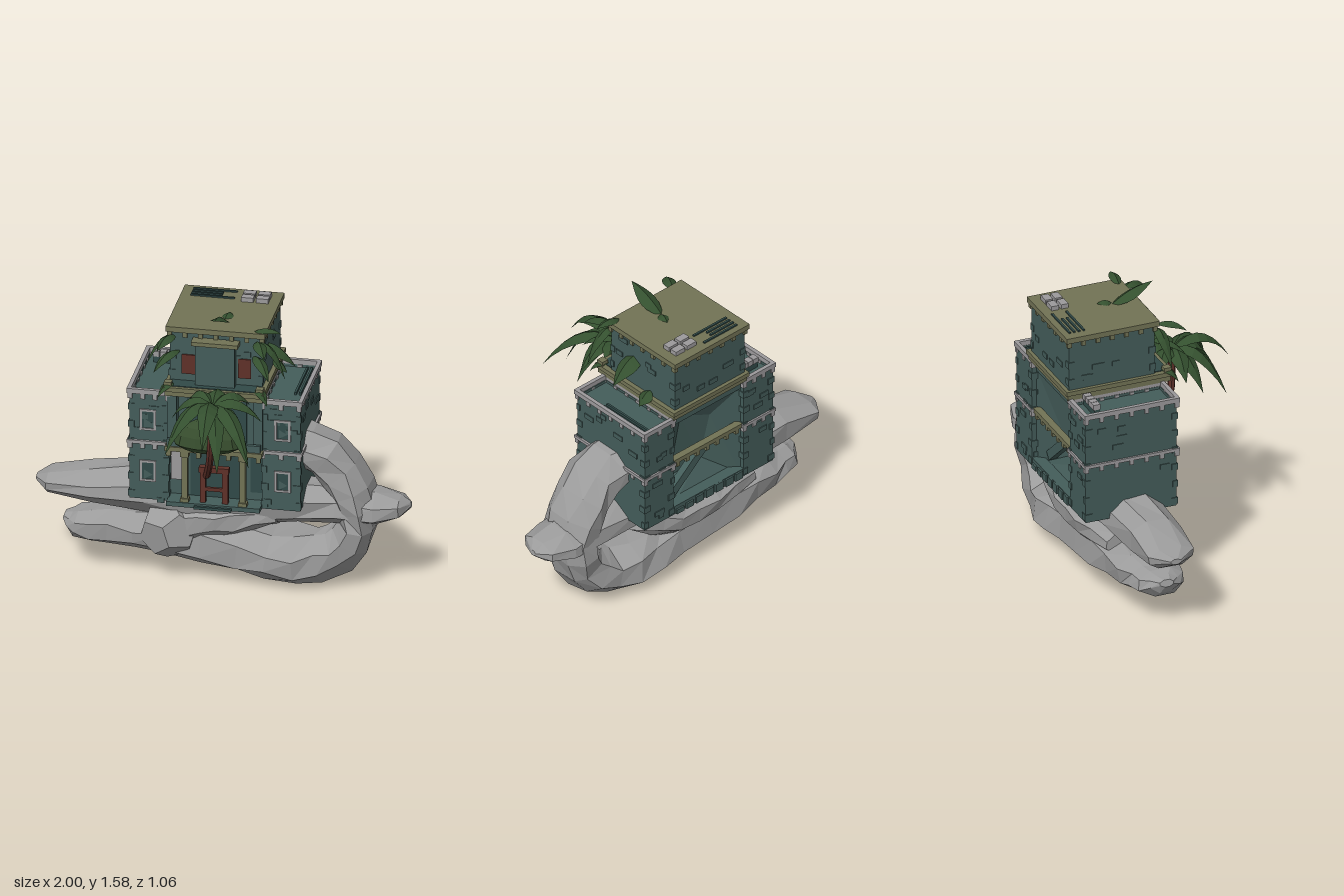
import * as THREE from 'three';

const mat = (name, color, side = THREE.FrontSide) => {
  const m = new THREE.MeshStandardMaterial({ color, side });
  m.name = name;
  return m;
};

export function createModel() {
  const root = new THREE.Group();
  root.name = 'overgrownHouse';
  const teal = mat('teal plaster', 0x445d5a), dark = mat('dark teal', 0x314a48);
  const cave = mat('teal cave', 0x415956, THREE.DoubleSide);
  const olive = mat('olive stone', 0x727355), trim = mat('grey trim', 0x9c9a9c);
  const rock = mat('grey root', 0x9b9b9b), wood = mat('red brown wood', 0x5f3129);
  const leaf = mat('palm green', 0x34502f, THREE.DoubleSide), bushGreen = mat('moss green', 0x384f2f);

  let seed = 7;
  const rnd = () => (seed = (seed * 16807) % 2147483647) / 2147483647;
  const add = (name, geo, m, parent = root) => {
    const mesh = new THREE.Mesh(geo, m);
    mesh.name = name;
    parent.add(mesh);
    return mesh;
  };
  const group = (name) => {
    const g = new THREE.Group();
    g.name = name;
    root.add(g);
    return g;
  };
  const box = (name, m, x0, x1, y0, y1, z0, z1, parent = root) => {
    const mesh = add(name, new THREE.BoxGeometry(x1 - x0, y1 - y0, z1 - z0), m, parent);
    mesh.position.set((x0 + x1) / 2, (y0 + y1) / 2, (z0 + z1) / 2);
    return mesh;
  };
  const facet = (g) => {
    const f = g.index ? g.toNonIndexed() : g;
    f.computeVertexNormals();
    return f;
  };
  const v = (p) => new THREE.Vector3(...p);

  // Rectangular rim made of four bars
  const rim = (name, m, x0, x1, y0, y1, z0, z1, t, parent) => {
    box(name, m, x0, x1, y0, y1, z1 - t, z1, parent);
    box(name, m, x0, x1, y0, y1, z0, z0 + t, parent);
    box(name, m, x0, x0 + t, y0, y1, z0 + t, z1 - t, parent);
    box(name, m, x1 - t, x1, y0, y1, z0 + t, z1 - t, parent);
  };
  // Little brackets hanging under a cornice, around walls
  const dentils = (m, x0, x1, z0, z1, y, parent) => {
    const w = 0.012, h = 0.03;
    const nx = Math.max(2, Math.round((x1 - x0) / 0.08)), nz = Math.round((z1 - z0) / 0.08);
    for (let i = 0; i <= nx; i++) for (const z of [z0, z1]) {
      const x = x0 + (x1 - x0) * i / nx;
      box('bracket', m, x - w, x + w, y - h, y, z - w, z + w, parent);
    }
    for (let i = 1; i < nz; i++) for (const x of [x0, x1]) {
      const z = z0 + (z1 - z0) * i / nz;
      box('bracket', m, x - w, x + w, y - h, y, z - w, z + w, parent);
    }
  };
  // Scattered raised bricks on the four walls, and larger blocks on the corners
  const bricks = (x0, x1, y0, y1, z0, z1, n, parent) => {
    const d = 0.005;
    for (let i = 0; i < n; i++) {
      const y = y0 + rnd() * (y1 - y0), x = x0 + 0.03 + rnd() * (x1 - x0 - 0.06);
      const z = z0 + 0.04 + rnd() * (z1 - z0 - 0.08), w = 0.015 + rnd() * 0.02;
      const zw = i % 2 ? z0 : z1, xw = i % 2 ? x0 : x1;
      box('brick', teal, x - w, x + w, y - 0.014, y + 0.014, zw - d, zw + d, parent);
      box('brick', teal, xw - d, xw + d, y - 0.014, y + 0.014, z - w, z + w, parent);
    }
    for (const x of [x0, x1]) for (const z of [z0, z1]) for (let y = y0 + 0.03; y < y1; y += 0.1) {
      const w = 0.02 + rnd() * 0.02;
      box('cornerBlock', teal, Math.max(x - w, x0 - d), Math.min(x + w, x1 + d), y - 0.018, y + 0.018,
        Math.max(z - w, z0 - d), Math.min(z + w, z1 + d), parent);
    }
  };

  // Wings with two storeys, windows and parapets
  for (const s of [-1, 1]) {
    const g = group(s > 0 ? 'leftWing' : 'rightWing');
    const [x0, x1] = s > 0 ? [0.25, 0.455] : [-0.46, -0.25];
    box('wingWalls', teal, x0, x1, 0.49, 1.085, -0.505, 0.015, g);
    bricks(x0, x1, 0.49, 1.06, -0.505, 0.015, 12, g);
    rim('wingParapet', trim, x0 - 0.012, x1 + 0.012, 1.1, 1.127, -0.515, 0.03, 0.022, g);
    rim('parapetFoot', teal, x0, x1, 1.08, 1.1, -0.505, 0.015, 0.012, g);
    dentils(trim, x0 + 0.005, x1 - 0.005, -0.5, 0.015, 1.1, g);
    rim('storeyBand', trim, x0 - 0.012, x1 + 0.012, 0.812, 0.83, -0.515, 0.03, 0.022, g);
    dentils(trim, x0 + 0.005, x1 - 0.005, -0.5, 0.015, 0.814, g);
    const cx = s * 0.36;
    for (const y of [0.655, 0.95]) {
      box('windowPane', dark, cx - 0.03, cx + 0.03, y - 0.048, y + 0.048, 0.012, 0.019, g);
      for (const e of [-1, 1]) {
        box('windowFrame', trim, cx + e * 0.037 - 0.007, cx + e * 0.037 + 0.007, y - 0.06, y + 0.06, 0.015, 0.024, g);
        box('windowFrame', trim, cx - 0.03, cx + 0.03, y + e * 0.054 - 0.006, y + e * 0.054 + 0.006, 0.015, 0.024, g);
      }
      const shard = add('brokenPane', new THREE.CircleGeometry(0.03, 3), teal, g);
      shard.position.set(cx - 0.004, y - 0.02, 0.021);
    }
  }

  // Central block: set-back facade with a hollow in the rear
  const mid = group('centralBlock');
  box('centralWalls', teal, -0.25, 0.25, 0.49, 1.14, -0.3, -0.03, mid);
  box('rearLintel', teal, -0.25, 0.25, 1.05, 1.14, -0.48, -0.3, mid);
  const rimPts = [[-0.25, 0.5], [0.25, 0.5], [0.25, 1.06], [-0.25, 1.06]];
  const inner = [[-0.08, 0.62, -0.35], [0.12, 0.58, -0.33], [0.05, 0.95, -0.34], [-0.13, 0.88, -0.37]];
  const hollow = new THREE.BufferGeometry();
  hollow.setAttribute('position', new THREE.Float32BufferAttribute(
    [...rimPts.map(([x, y]) => [x, y, -0.48]), ...inner].flat(), 3));
  const idx = [4, 6, 5, 4, 7, 6];
  for (let i = 0; i < 4; i++) {
    const j = (i + 1) % 4;
    idx.push(i, i + 4, j, j, i + 4, j + 4);
  }
  hollow.setIndex(idx);
  add('rearHollow', facet(hollow), cave, mid);
  box('rearBeam', olive, -0.26, 0.26, 0.81, 0.835, -0.5, -0.46, mid);
  box('rearSill', teal, -0.26, 0.26, 0.49, 0.54, -0.505, -0.44, mid);
  const brace = add('fallenBeam', new THREE.BoxGeometry(0.3, 0.05, 0.04), teal, mid);
  brace.position.set(0.08, 0.66, -0.42);
  brace.rotation.z = -0.7;
  for (let i = 0; i < 7; i++) {
    const x = -0.21 + i * 0.07;
    box('rearBracket', olive, x - 0.012, x + 0.012, 0.785, 0.81, -0.5, -0.475, mid);
    box('rearBlock', teal, x - 0.028, x + 0.024, 0.49, 0.51 + 0.03 * rnd(), -0.515, -0.5, mid);
  }

  // Porch, columns and balcony
  const porch = group('porch');
  box('porchFloor', teal, -0.25, 0.25, 0.49, 0.515, -0.03, 0.08, porch);
  box('step', dark, -0.1, 0.1, 0.49, 0.505, 0.08, 0.095, porch);
  box('entranceShade', dark, -0.14, 0.14, 0.515, 0.8, -0.032, -0.024, porch);
  box('sideShade', dark, 0.18, 0.245, 0.56, 0.8, -0.032, -0.024, porch);
  box('crackedPlaster', trim, -0.245, -0.18, 0.6, 0.78, -0.03, -0.022, porch);
  box('balconyFloor', olive, -0.26, 0.26, 0.805, 0.83, -0.03, 0.075, porch);
  dentils(olive, -0.24, 0.24, 0.0, 0.06, 0.805, porch);
  box('upperShade', dark, -0.16, 0.16, 0.84, 1.1, -0.032, -0.024, porch);
  for (const s of [-1, 1]) {
    const c = s * 0.155;
    box('column', olive, c - 0.015, c + 0.015, 0.515, 0.8, 0.035, 0.065, porch);
    box('columnBase', olive, c - 0.023, c + 0.023, 0.5, 0.535, 0.027, 0.073, porch);
    box('columnCap', olive, c - 0.023, c + 0.023, 0.775, 0.805, 0.027, 0.073, porch);
    box('porchPillar', teal, s * 0.23 - 0.025, s * 0.23 + 0.025, 0.83, 1.14, -0.03, 0.03, porch);
    box('balconyRail', teal, s * 0.2 - 0.05, s * 0.2 + 0.05, 0.83, 0.87, 0.045, 0.065, porch);
    box('doorPost', wood, s * 0.06 - 0.015, s * 0.06 + 0.015, 0.515, 0.7, 0.03, 0.055, porch);
  }
  box('doorLintel', wood, -0.08, 0.08, 0.69, 0.72, 0.025, 0.06, porch);
  box('doorRail', wood, -0.06, 0.06, 0.58, 0.6, 0.035, 0.05, porch);

  // Tower with terrace, bay and roof
  const tower = group('tower');
  box('terraceSlab', olive, -0.27, 0.27, 1.15, 1.175, -0.53, 0.08, tower);
  rim('lowerCornice', olive, -0.262, 0.262, 1.12, 1.15, -0.52, 0.065, 0.03, tower);
  box('terraceFloor', dark, -0.24, 0.24, 1.17, 1.179, -0.02, 0.06, tower);
  box('towerWalls', teal, -0.25, 0.245, 1.17, 1.46, -0.51, -0.02, tower);
  bricks(-0.25, 0.245, 1.19, 1.42, -0.51, -0.02, 8, tower);
  box('towerRoof', olive, -0.27, 0.262, 1.46, 1.49, -0.53, 0.0, tower);
  dentils(olive, -0.25, 0.245, -0.51, -0.02, 1.46, tower);
  box('bay', teal, -0.105, 0.105, 1.17, 1.41, -0.02, 0.03, tower);
  box('bayRoof', olive, -0.125, 0.125, 1.41, 1.432, -0.02, 0.045, tower);
  for (const s of [-1, 1]) {
    box('towerDoor', wood, s * 0.15 - 0.035, s * 0.15 + 0.035, 1.22, 1.33, -0.022, -0.012, tower);
    box('terracePost', olive, s * 0.245 - 0.02, s * 0.245 + 0.02, 1.17, 1.2, 0.03, 0.07, tower);
  }

  // Roof vents and slats
  const fittings = group('roofFittings');
  for (let i = 0; i < 4; i++) {
    const x = 0.06 + (i % 2) * 0.08, z = -0.475 + (i >> 1) * 0.055;
    box('towerVent', trim, x, x + 0.065, 1.49, 1.515, z, z + 0.042, fittings);
    const wx = -0.415 + i * 0.037;
    box('wingVent', trim, wx, wx + 0.033, 1.12, 1.15, -0.44, -0.4, fittings);
  }
  box('ventBase', dark, -0.415, -0.271, 1.085, 1.12, -0.435, -0.405, fittings);
  for (let i = 0; i < 4; i++)
    box('towerSlat', dark, -0.215, i % 3 ? -0.05 : 0.02, 1.49, 1.498, -0.495 + i * 0.027, -0.483 + i * 0.027, fittings);
  for (const x of [0.39, 0.415]) box('wingSlat', dark, x, x + 0.012, 1.085, 1.1, -0.47, -0.15, fittings);

  // Faceted root built from elliptical loops; points are x, y, z, in-plane radius, z radius
  const roots = group('roots');
  const rootLimb = (name, pts, steps) => {
    const curve = new THREE.CatmullRomCurve3(pts.map(v));
    const pos = [], ix = [], S = 8;
    const Z = new THREE.Vector3(0, 0, 1);
    for (let i = 0; i <= steps; i++) {
      const t = i / steps, f = t * (pts.length - 1), k = Math.min(Math.floor(f), pts.length - 2);
      const c = curve.getPoint(t), N = Z.clone().cross(curve.getTangent(t)).normalize();
      const r = THREE.MathUtils.lerp(pts[k][3], pts[k + 1][3], f - k);
      const rz = THREE.MathUtils.lerp(pts[k][4], pts[k + 1][4], f - k);
      for (let j = 0; j < S; j++) {
        const a = (j + 0.3 + rnd() * 0.4) / S * Math.PI * 2, n = 0.98 + rnd() * 0.14;
        pos.push(c.x + N.x * Math.cos(a) * r * n, c.y + N.y * Math.cos(a) * r * n, c.z + Math.sin(a) * rz * n);
      }
    }
    for (let i = 0; i < steps; i++) for (let j = 0; j < S; j++) {
      const a = i * S + j, b = i * S + (j + 1) % S;
      ix.push(a, b, a + S, b, b + S, a + S);
    }
    const e = pos.length / 3, first = curve.getPoint(0), last = curve.getPoint(1);
    pos.push(...first.toArray(), ...last.toArray());
    for (let j = 0; j < S; j++) {
      const k = (j + 1) % S;
      ix.push(e, k, j, e + 1, steps * S + j, steps * S + k);
    }
    const g = new THREE.BufferGeometry();
    g.setAttribute('position', new THREE.Float32BufferAttribute(pos, 3));
    g.setIndex(ix);
    add(name, facet(g), rock, roots);
  };
  rootLimb('archingRoot', [[0.36, 0.8, -0.22, 0.11, 0.165], [0.55, 0.73, -0.22, 0.12, 0.165], [0.69, 0.55, -0.22, 0.11, 0.165],
    [0.72, 0.35, -0.22, 0.1, 0.165], [0.62, 0.19, -0.22, 0.125, 0.17], [0.4, 0.14, -0.22, 0.135, 0.21], [0.1, 0.18, -0.22, 0.14, 0.21],
    [-0.3, 0.22, -0.24, 0.125, 0.185], [-0.6, 0.23, -0.22, 0.1, 0.16], [-0.78, 0.235, -0.21, 0.075, 0.13], [-0.85, 0.26, -0.21, 0.02, 0.04]], 20);
  rootLimb('upperRoot', [[-1, 0.46, -0.22, 0.015, 0.03], [-0.93, 0.455, -0.22, 0.055, 0.13], [-0.7, 0.465, -0.21, 0.1, 0.15],
    [-0.4, 0.47, -0.22, 0.13, 0.16], [0, 0.42, -0.22, 0.12, 0.19], [0.4, 0.465, -0.22, 0.11, 0.17], [0.62, 0.46, -0.22, 0.1, 0.15],
    [0.82, 0.455, -0.22, 0.085, 0.15], [0.95, 0.465, -0.22, 0.05, 0.11], [1, 0.47, -0.23, 0.015, 0.02]], 9);
  rootLimb('innerRoot', [[-0.3, 0.27, -0.14, 0.12, 0.12], [-0.1, 0.34, -0.15, 0.11, 0.13], [0.08, 0.36, -0.17, 0.09, 0.15],
    [0.3, 0.41, -0.2, 0.06, 0.14]], 6);
  rootLimb('rearRoot', [[-0.45, 0.33, -0.27, 0.06, 0.11], [-0.15, 0.31, -0.29, 0.1, 0.14], [0.12, 0.33, -0.3, 0.1, 0.14],
    [0.35, 0.42, -0.28, 0.08, 0.13]], 6);
  const knob = add('rootKnob', facet(new THREE.DodecahedronGeometry(0.17, 0)), rock, roots);
  knob.scale.set(1, 0.95, 0.72);
  knob.position.set(-0.265, 0.275, -0.095);
  knob.rotation.z = 0.3;

  // Folded leaf: rises by a, droops by b, tapers to both ends
  const frond = (name, base, yaw, len, a, b, w, parent) => {
    const g = new THREE.PlaneGeometry(2, 1, 2, 7), p = g.attributes.position;
    for (let i = 0; i < p.count; i++) {
      const s = p.getX(i), t = 0.5 - p.getY(i);
      const half = w * Math.sin(Math.PI * Math.min(1, 0.06 + 0.94 * Math.pow(t, 0.9)));
      p.setXYZ(i, s * half, a * t - b * t * t - Math.abs(s) * half * 0.6, t * len);
    }
    const m = add(name, facet(g), leaf, parent);
    m.position.set(...base);
    m.rotation.y = yaw;
  };

  // Leaning palm; fronds are yaw, length, rise, droop
  const palm = group('palmTree');
  const trunk = new THREE.CatmullRomCurve3([[-0.04, 0.67, 0.05], [-0.01, 0.78, 0.13], [0.01, 0.92, 0.185], [0.02, 1.14, 0.19]].map(v));
  add('palmTrunk', facet(new THREE.TubeGeometry(trunk, 10, 0.02, 7)), wood, palm);
  const fronds = [[0.03, 0.34, 0.38, 0.49], [0.27, 0.31, 0.28, 0.53], [0.7, 0.39, 0.28, 0.48], [1.6, 0.26, 0.25, 0.32],
    [1.2, 0.22, 0.2, 0.42], [2.2, 0.22, 0.28, 0.32], [-0.75, 0.31, 0.3, 0.5], [-1.1, 0.22, 0.2, 0.38], [-1.6, 0.22, 0.25, 0.34],
    [-2.3, 0.2, 0.26, 0.3], [3.1, 0.2, 0.25, 0.28]];
  for (const [yaw, len, a, b] of fronds) frond('palmFrond', [0.02, 1.14, 0.19], yaw, len, a, b, 0.052, palm);

  // Moss mound on the balcony, and leaves growing from the tower
  const plants = group('plants');
  const moss = add('mossMound', facet(new THREE.SphereGeometry(1, 10, 4, 0, Math.PI * 2, 0, Math.PI / 2)), bushGreen, plants);
  moss.scale.set(0.18, 0.15, 0.075);
  moss.position.set(-0.025, 0.87, 0.095);
  const under = add('mossUnderside', new THREE.CylinderGeometry(1, 0.7, 1, 10), bushGreen, plants);
  under.scale.set(0.18, 0.03, 0.075);
  under.position.set(-0.025, 0.855, 0.095);
  for (const s of [-1, 1]) {
    frond('towerLeaf', [s * 0.22, 1.43, -0.01], s * 1.35, 0.16, 0.12, 0.3, 0.034, plants);
    frond('towerLeaf', [s * 0.22, 1.45, 0.01], s * 0.45, 0.155, 0.1, 0.14, 0.036, plants);
    frond('towerLeaf', [s * 0.2, 1.35, -0.02], s * 0.6, 0.19, 0.1, 0.17, 0.034, plants);
    frond('terraceLeaf', [s * 0.22, 1.18, 0.03], s * 0.8, 0.1, 0.1, 0.16, 0.03, plants);
  }
  frond('cornerLeaf', [0.2, 1.49, -0.03], 1.5, 0.15, 0.1, 0.1, 0.03, plants);
  frond('sideLeaf', [0.19, 1.35, -0.19], 1.57, 0.2, 0.08, 0.2, 0.06, plants);
  frond('sideLeaf', [0.24, 1.2, -0.32], 1.5, 0.08, 0.04, 0.11, 0.045, plants);
  frond('roofLeaf', [0.01, 1.49, -0.15], 0, 0.23, 0.17, 0.08, 0.05, plants);
  frond('roofLeaf', [0.02, 1.49, -0.15], 2.9, 0.08, 0.08, 0.08, 0.03, plants);
  return root;
}
